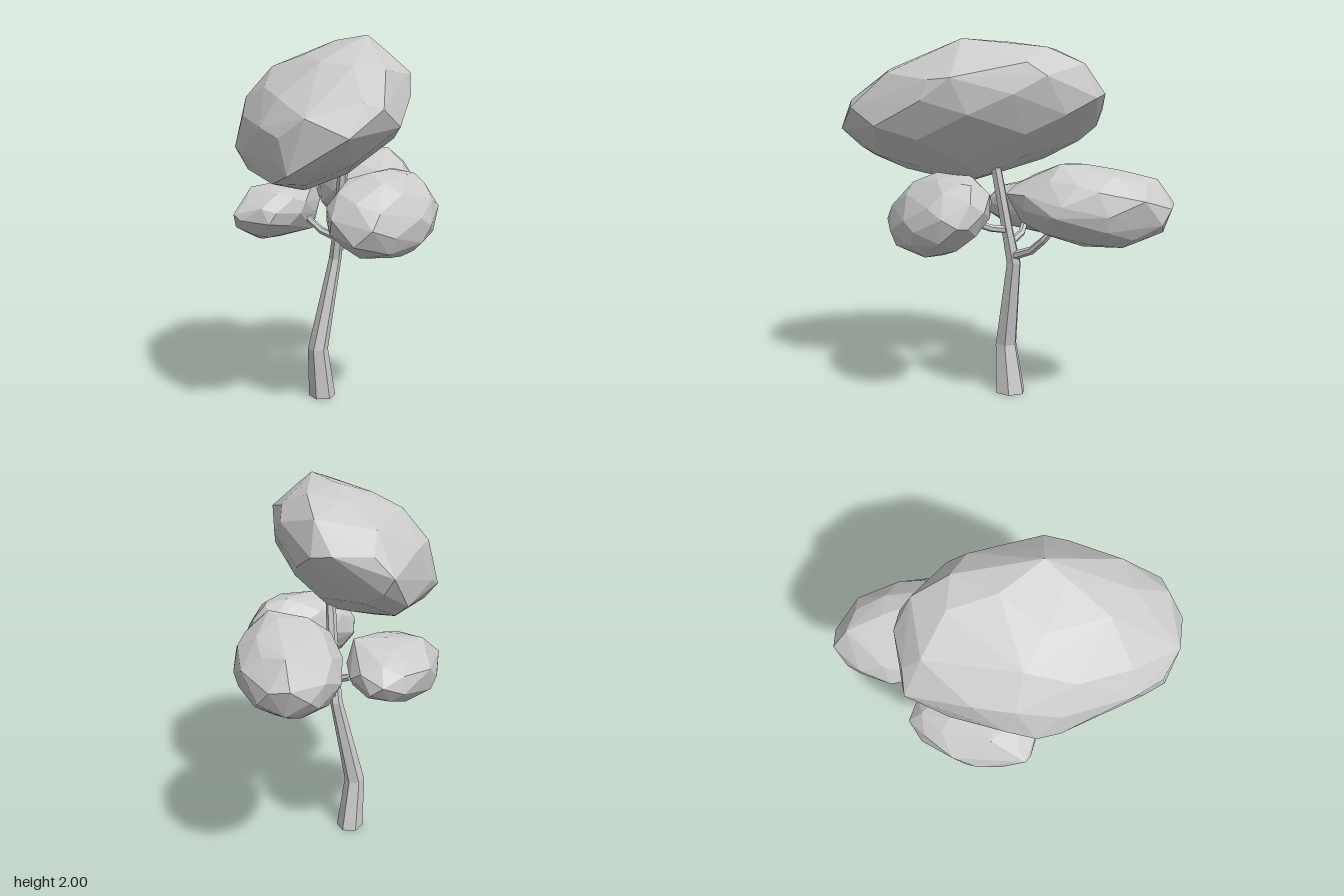
import * as THREE from 'three';
import { ConvexGeometry } from 'three/addons/geometries/ConvexGeometry.js';

const material = new THREE.MeshStandardMaterial({ color: 0xcccccc, flatShading: true });

function seeded(seed) {
  return () => (seed = (seed * 16807) % 2147483647) / 2147483647;
}

// Faceted limb: six-sided sections swept along points [x, y, z, rx, rz].
function limb(points, level = false) {
  const sides = 6, up = new THREE.Vector3(0, 1, 0);
  const centres = points.map(p => new THREE.Vector3(p[0], p[1], p[2]));
  const rings = centres.map((c, i) => {
    const before = centres[Math.max(i - 1, 0)];
    const after = centres[Math.min(i + 1, centres.length - 1)];
    const turn = new THREE.Quaternion();
    if (!level) turn.setFromUnitVectors(up, after.clone().sub(before).normalize());
    const [, , , rx, rz = rx] = points[i];
    return Array.from({ length: sides }, (_, k) => {
      const a = (k / sides) * Math.PI * 2;
      return new THREE.Vector3(Math.cos(a) * rx, 0, Math.sin(a) * rz).applyQuaternion(turn).add(c);
    });
  });
  const corners = [];
  const last = rings.length - 1;
  for (let k = 0; k < sides; k++) {
    const n = (k + 1) % sides;
    for (let i = 0; i < last; i++) {
      const a = rings[i][k], b = rings[i][n], c = rings[i + 1][n], d = rings[i + 1][k];
      corners.push(a, d, b, b, d, c);
    }
    corners.push(centres[0], rings[0][k], rings[0][n]);
    corners.push(centres[last], rings[last][n], rings[last][k]);
  }
  const geometry = new THREE.BufferGeometry().setFromPoints(corners);
  geometry.computeVertexNormals();
  return geometry;
}

// Faceted leaf mass: a leaning ellipsoid fitted to a box, with lean factors xy, xz and yz,
// and a few tips that stand out from it.
function foliage({ centre, half, lean: [xy, xz, yz], count, seed, tips }) {
  const random = seeded(seed);
  const yy = Math.sqrt(1 - xy * xy);
  const zy = (yz - xy * xz) / yy;
  const zz = Math.sqrt(1 - xz * xz - zy * zy);
  const points = [];
  for (let i = 0; i < count; i++) {
    const h = 1 - (2 * (i + 0.5)) / count;
    const a = i * 2.39996 + (random() - 0.5) * 0.4;
    const r = Math.sqrt(1 - h * h), s = 0.97 + random() * 0.06;
    const u = Math.cos(a) * r * s, v = h * s, w = Math.sin(a) * r * s;
    points.push(new THREE.Vector3(u, xy * u + yy * v, xz * u + zy * v + zz * w));
  }
  const box = new THREE.Box3().setFromPoints(points);
  const middle = box.getCenter(new THREE.Vector3());
  const size = box.getSize(new THREE.Vector3());
  const scale = new THREE.Vector3(...half).multiplyScalar(2).divide(size);
  points.forEach(p => p.sub(middle).multiply(scale).add(new THREE.Vector3(...centre)));
  return new ConvexGeometry([...points, ...tips.map(t => new THREE.Vector3(...t))]);
}

export function createModel() {
  const tree = new THREE.Group();
  tree.name = 'tree';
  const add = (name, geometry) => {
    const mesh = new THREE.Mesh(geometry, material);
    mesh.name = name;
    tree.add(mesh);
  };

  // Bent trunk and the stem rising into the crown
  add('trunk', limb([
    [-0.062, 0, -0.028, 0.074, 0.088],
    [-0.087, 0.28, 0, 0.056, 0.064],
    [0.014, 0.78, -0.055, 0.035, 0.042],
    [0.03, 0.95, -0.025, 0.031, 0.034],
    [0.05, 1.33, 0.04, 0.027, 0.03],
  ], true));

  // Side branches
  add('backBranch', limb([
    [0.02, 0.82, -0.05, 0.024], [0.09, 0.87, -0.16, 0.022],
    [0.14, 0.94, -0.23, 0.02], [0.17, 1.03, -0.3, 0.016],
  ]));
  add('rightBranch', limb([
    [0.025, 0.9, -0.04, 0.022], [-0.06, 0.935, -0.09, 0.02], [-0.14, 1.01, -0.11, 0.018],
  ]));
  add('frontBranch', limb([
    [0.03, 0.97, -0.02, 0.022], [0.1, 0.99, 0.06, 0.02], [0.17, 1.04, 0.16, 0.018],
  ]));

  // Leaf masses
  add('crownFoliage', foliage({
    centre: [-0.075, 1.6, 0.175], half: [0.435, 0.38, 0.69], lean: [0.37, 0.02, -0.2], count: 52, seed: 11,
    tips: [
      [0.38, 1.81, 0.23], [0.16, 2, 0.2], [0, 1.51, 0.9], [0, 1.71, -0.54], [-0.53, 1.42, 0.1],
      [-0.18, 1.2, 0.22], [-0.28, 1.33, 0.79], [0.17, 1.64, 0.8], [-0.2, 1.6, 0.84], [0.27, 1.55, 0.65],
      [-0.3, 1.6, -0.52], [0.05, 1.27, 0.1], [-0.47, 1.68, 0], [-0.33, 1.84, 0.05],
    ],
  }));
  add('frontFoliage', foliage({
    centre: [0.235, 1.09, 0.325], half: [0.3, 0.217, 0.295], lean: [0.05, -0.37, -0.27], count: 46, seed: 23,
    tips: [[0.54, 1.07, 0.17], [0.32, 0.87, 0.38], [0.3, 1.305, 0.14], [0.15, 0.92, 0.54], [0.42, 1.28, 0.17]],
  }));
  add('backFoliage', foliage({
    centre: [0.228, 1.155, -0.48], half: [0.28, 0.22, 0.415], lean: [0.1, 0.08, 0.12], count: 46, seed: 37,
    tips: [
      [0.17, 1.16, -0.91], [0.34, 1.38, -0.33], [0.51, 1.13, -0.31], [0.33, 1.22, -0.05],
      [0.2, 1.29, -0.82], [0.2, 0.97, -0.76], [0.45, 1.29, -0.42],
    ],
  }));
  add('rightFoliage', foliage({
    centre: [-0.295, 1.05, -0.2], half: [0.24, 0.157, 0.345], lean: [0.2, -0.3, 0], count: 46, seed: 53,
    tips: [
      [-0.545, 1.05, 0.05], [-0.09, 1.21, -0.25], [-0.42, 0.89, -0.15],
      [-0.45, 1.18, -0.12], [-0.1, 0.93, -0.22], [-0.49, 1.08, -0.33],
    ],
  }));

  return tree;
}
